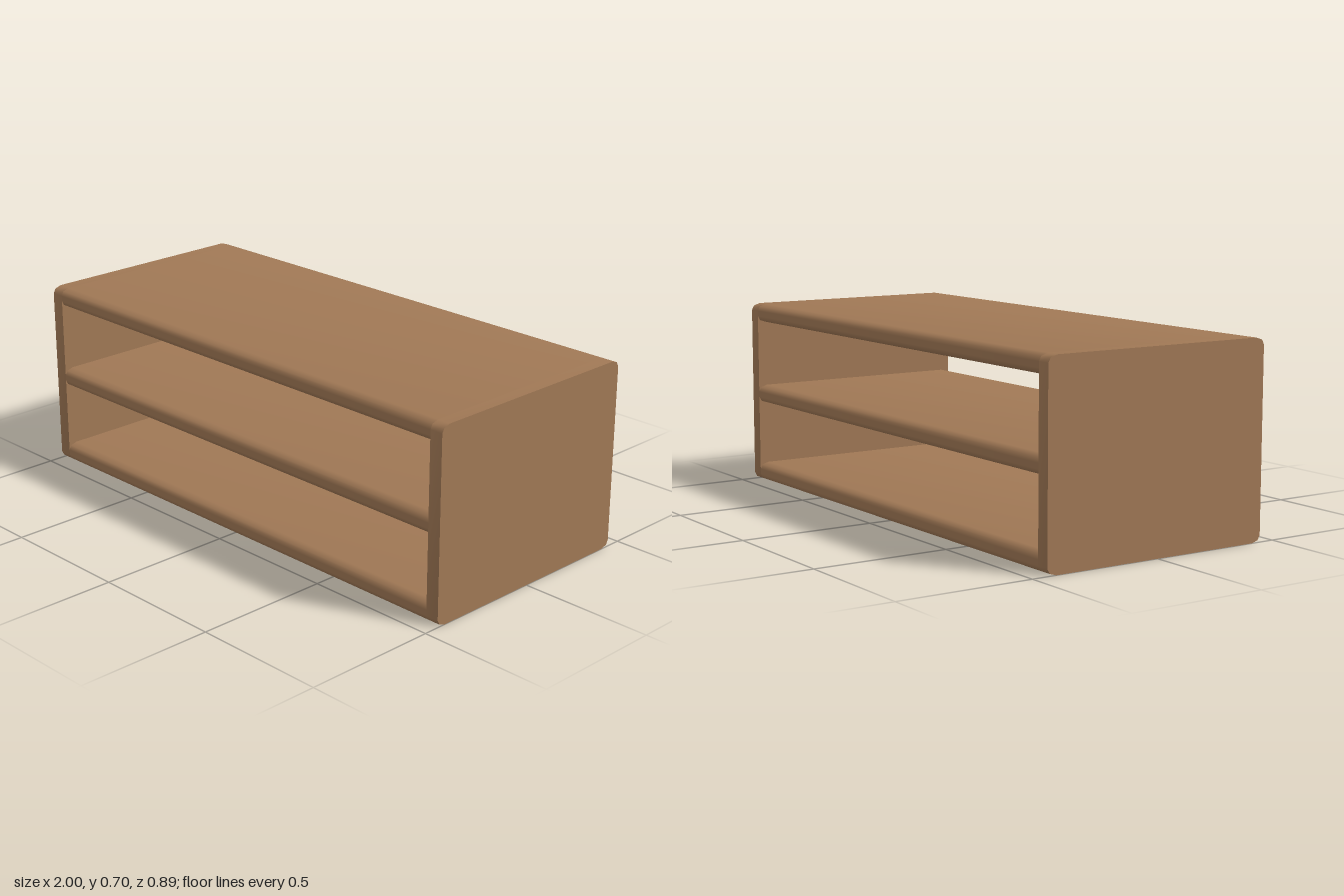
import * as THREE from 'three';
import { toCreasedNormals } from 'three/addons/utils/BufferGeometryUtils.js';

const DEPTH = 0.886, HEIGHT = 0.7, SIDE = 0.05, BOARD = 0.07;

// Panel running along x, with its four long edges softened in two facets
function panel(name, width, height, x, y, material) {
  const a = DEPTH / 2, b = height / 2;
  const corner = [[a, b - 0.025], [a - 0.009, b - 0.008], [a - 0.034, b]];
  const points = [];
  for (const [sz, sy] of [[1, 1], [-1, 1], [-1, -1], [1, -1]]) {
    const run = sz * sy > 0 ? corner : [...corner].reverse();
    for (const [z, v] of run) points.push(new THREE.Vector2(z * sz, v * sy));
  }
  const extruded = new THREE.ExtrudeGeometry(new THREE.Shape(points), { depth: width, bevelEnabled: false });
  extruded.translate(0, 0, -width / 2).rotateY(Math.PI / 2);
  const mesh = new THREE.Mesh(toCreasedNormals(extruded, 1.0), material);
  mesh.name = name;
  mesh.position.set(x, y, 0);
  return mesh;
}

export function createModel() {
  const group = new THREE.Group();
  group.name = 'openShelfUnit';
  const wood = new THREE.MeshStandardMaterial({ color: 0xa07855 });
  wood.name = 'brown wood';

  // Full-height end panels
  for (const [name, s] of [['leftSide', 1], ['rightSide', -1]]) {
    group.add(panel(name, SIDE, HEIGHT, s * (1 - SIDE / 2), HEIGHT / 2, wood));
  }
  // Horizontal boards between the ends, open at front and back
  const boards = [['bottomBoard', BOARD / 2], ['middleShelf', 0.345], ['topBoard', HEIGHT - BOARD / 2]];
  for (const [name, y] of boards) {
    group.add(panel(name, 2 - 2 * SIDE, BOARD, 0, y, wood));
  }
  return group;
}
